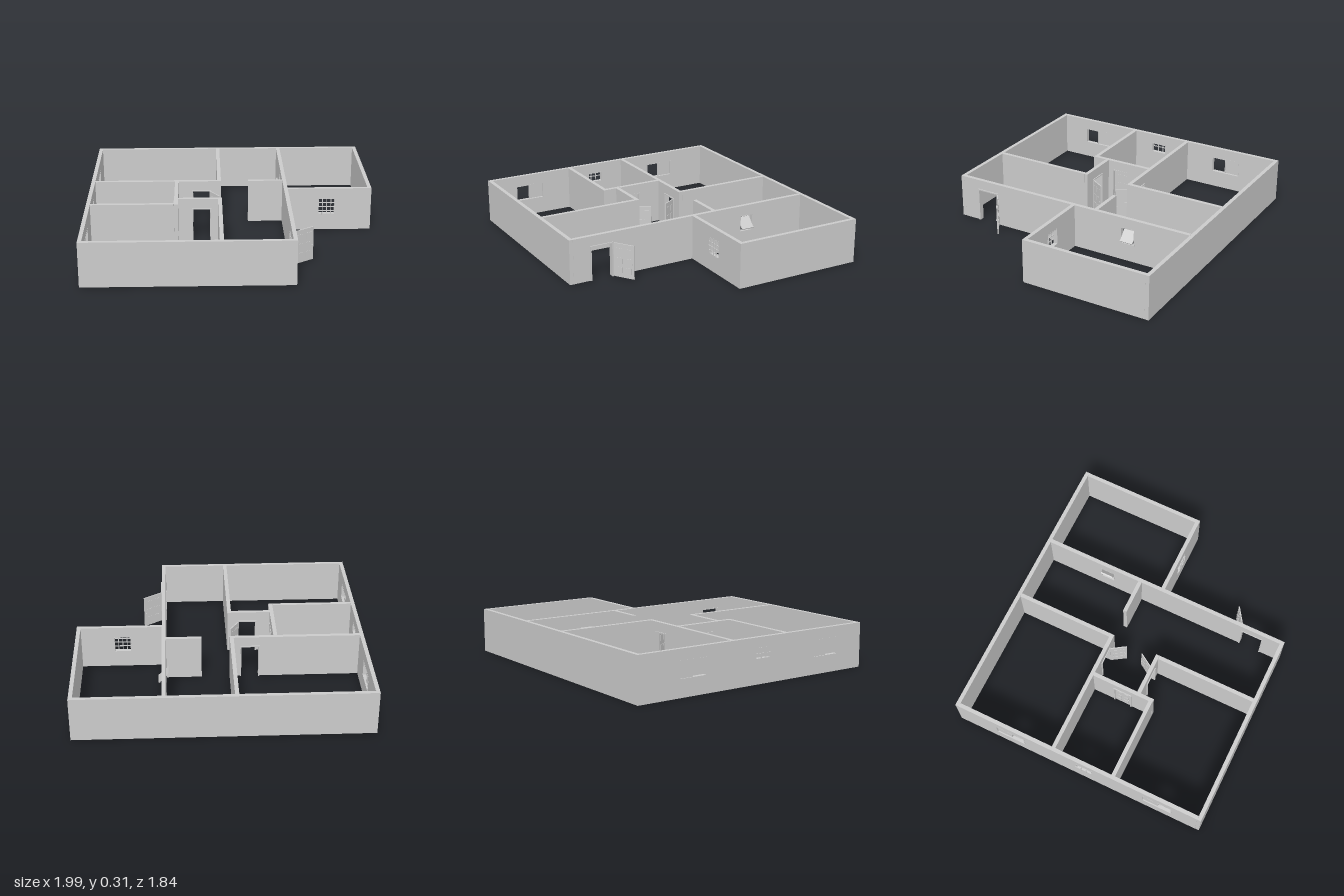
import * as THREE from 'three';

const H = 0.31, T = 0.027;
const mat = new THREE.MeshStandardMaterial({ color: 0xcccccc, flatShading: true, side: THREE.DoubleSide });

function mesh(parent, name, geo) {
  const m = new THREE.Mesh(geo, mat);
  m.name = name;
  parent.add(m);
  return m;
}

function box(parent, name, w, h, d, x, y, z) {
  const m = mesh(parent, name, new THREE.BoxGeometry(w, h, d));
  m.position.set(x, y, z);
  return m;
}

// Wall running along 'x' or 'z' from a to b, centred on line c.
// Openings are [from, to, bottom, top]; a bottom of 0 cuts a doorway.
function wall(parent, name, axis, c, a, b, openings = []) {
  const s = new THREE.Shape();
  s.moveTo(a, 0);
  for (const [p, q, lo, hi] of openings) {
    if (lo === 0) {
      s.lineTo(p, 0); s.lineTo(p, hi); s.lineTo(q, hi); s.lineTo(q, 0);
    } else {
      const hole = new THREE.Path();
      hole.moveTo(p, lo); hole.lineTo(p, hi); hole.lineTo(q, hi); hole.lineTo(q, lo);
      hole.closePath();
      s.holes.push(hole);
    }
  }
  s.lineTo(b, 0); s.lineTo(b, H); s.lineTo(a, H);
  s.closePath();
  const geo = new THREE.ExtrudeGeometry(s, { depth: T, bevelEnabled: false });
  geo.translate(0, 0, -T / 2);
  if (axis === 'z') geo.rotateY(-Math.PI / 2).translate(c, 0, 0);
  else geo.translate(0, 0, c);
  mesh(parent, name, geo);
}

// Group in an opening: local x runs along the wall, local z across it
function fitting(parent, name, axis, c, s, y) {
  const g = new THREE.Group();
  g.name = name;
  if (axis === 'z') { g.rotation.y = -Math.PI / 2; g.position.set(c, y, s); }
  else g.position.set(s, y, c);
  parent.add(g);
  return g;
}

// Lining around an opening; doors have no sill
function lining(g, w, h, depth, bar, sill) {
  for (const k of [-1, 1]) box(g, 'jamb', bar, h, depth, k * (w - bar) / 2, h / 2, 0);
  box(g, 'head', w, bar, depth, 0, h - bar / 2, 0);
  if (sill) box(g, 'sill', w, bar, depth, 0, bar / 2, 0);
}

// Panelled door leaf starting at its hinge and running along local x
function leaf(parent, name, w, h, x, z, dx, dz) {
  const g = new THREE.Group();
  g.name = name;
  g.position.set(x, 0, z);
  g.rotation.y = Math.atan2(-dz, dx);
  box(g, 'doorPanel', w, h, 0.008, w / 2, h / 2 + 0.005, 0);
  for (let i = 0; i < 2; i++) for (let j = 0; j < 3; j++)
    box(g, 'raisedPanel', w * 0.28, h * 0.17, 0.013, w * (0.28 + 0.44 * i), h * (0.24 + 0.28 * j), 0);
  box(g, 'handle', 0.008, 0.008, 0.02, w - 0.012, h * 0.46, 0);
  parent.add(g);
}

// Sliding window with one half covered by a sash
function slider(parent, z) {
  const g = fitting(parent, 'slidingWindow', 'z', -0.977, z, 0.115);
  lining(g, 0.22, 0.12, T + 0.002, 0.006, true);
  box(g, 'fixedSash', 0.11, 0.11, 0.005, -0.05, 0.06, 0.004);
  box(g, 'meetingRail', 0.006, 0.11, 0.012, 0.003, 0.06, 0);
}

// Framed window with crossing bars
function grille(parent, name, axis, c, s, y, w, h, depth, nx, ny) {
  const g = fitting(parent, name, axis, c, s, y);
  lining(g, w, h, T + 0.002, 0.005, true);
  for (let i = 1; i <= nx; i++) box(g, 'verticalBar', 0.005, h, 0.006, w * (i / (nx + 1) - 0.5), h / 2, depth);
  for (let j = 1; j <= ny; j++) box(g, 'crossBar', w, 0.005, 0.006, 0, h * j / (ny + 1), depth);
}

export function createModel() {
  const house = new THREE.Group();
  house.name = 'house';

  // Outer walls
  wall(house, 'backWall', 'x', -0.907, -0.99, 0.995);
  wall(house, 'sideWall', 'z', -0.977, -0.893, 0.893,
    [[-0.62, -0.4, 0.115, 0.235], [-0.005, 0.115, 0.165, 0.24], [0.49, 0.71, 0.115, 0.235]]);
  wall(house, 'frontWall', 'x', 0.907, -0.99, 0.402);
  wall(house, 'longWall', 'z', 0.389, -0.893, 0.893,
    [[-0.49, -0.385, 0.12, 0.24], [0.61, 0.77, 0, 0.24]]);
  wall(house, 'wingSideWall', 'z', 0.981, -0.893, 0);
  wall(house, 'wingFrontWall', 'x', -0.0135, 0.402, 0.968, [[0.62, 0.74, 0.115, 0.235]]);

  // Inner walls
  wall(house, 'backRoomSideWall', 'z', -0.078, -0.893, -0.195);
  wall(house, 'backRoomFrontWall', 'x', -0.182, -0.963, -0.065, [[-0.27, -0.14, 0, 0.24]]);
  wall(house, 'hallStubWall', 'x', -0.182, 0.13, 0.375);
  wall(house, 'bathroomSideWall', 'z', -0.38, -0.168, 0.28, [[-0.01, 0.12, 0, 0.24]]);
  wall(house, 'bathroomFrontWall', 'x', 0.266, -0.963, -0.394);
  wall(house, 'frontRoomBackWall', 'x', 0.168, -0.366, -0.065, [[-0.27, -0.14, 0, 0.24]]);
  wall(house, 'frontRoomSideWall', 'z', -0.078, 0.182, 0.893);

  // Door frames and leaves
  lining(fitting(house, 'entranceFrame', 'z', 0.391, 0.69, 0), 0.165, 0.242, 0.038, 0.008);
  leaf(house, 'entranceDoor', 0.15, 0.235, 0.412, 0.604, 0.125, -0.083);
  for (const [z, k, name] of [[-0.182, 1, 'backRoom'], [0.168, -1, 'frontRoom']]) {
    lining(fitting(house, name + 'DoorFrame', 'x', z, -0.205, 0), 0.135, 0.243, 0.04, 0.008);
    leaf(house, name + 'Door', 0.115, 0.232, -0.143, z + 0.02 * k, 0.062, 0.097 * k);
  }
  lining(fitting(house, 'bathroomDoorFrame', 'z', -0.382, 0.055, 0), 0.135, 0.243, 0.036, 0.008);
  leaf(house, 'bathroomDoor', 0.116, 0.232, -0.388, -0.003, 0, 1);

  // Windows
  slider(house, -0.51);
  slider(house, 0.6);
  grille(house, 'bathroomWindow', 'z', -0.977, 0.055, 0.165, 0.12, 0.075, 0.019, 2, 1);
  grille(house, 'wingWindow', 'x', -0.0135, 0.68, 0.115, 0.12, 0.12, 0.018, 3, 3);

  // Pivot window: the sash turns about a level axis, lower edge outward
  const pivot = fitting(house, 'pivotWindow', 'z', 0.389, -0.4375, 0.12);
  lining(pivot, 0.105, 0.12, T + 0.002, 0.005, true);
  const sash = new THREE.Group();
  sash.name = 'pivotSash';
  sash.position.y = 0.06;
  sash.rotation.x = 0.75;
  box(sash, 'pane', 0.092, 0.1, 0.006, 0, 0, 0);
  for (const k of [-1, 1]) box(sash, 'sashRail', 0.092, 0.007, 0.011, 0, k * 0.0465, 0);
  pivot.add(sash);

  return house;
}
